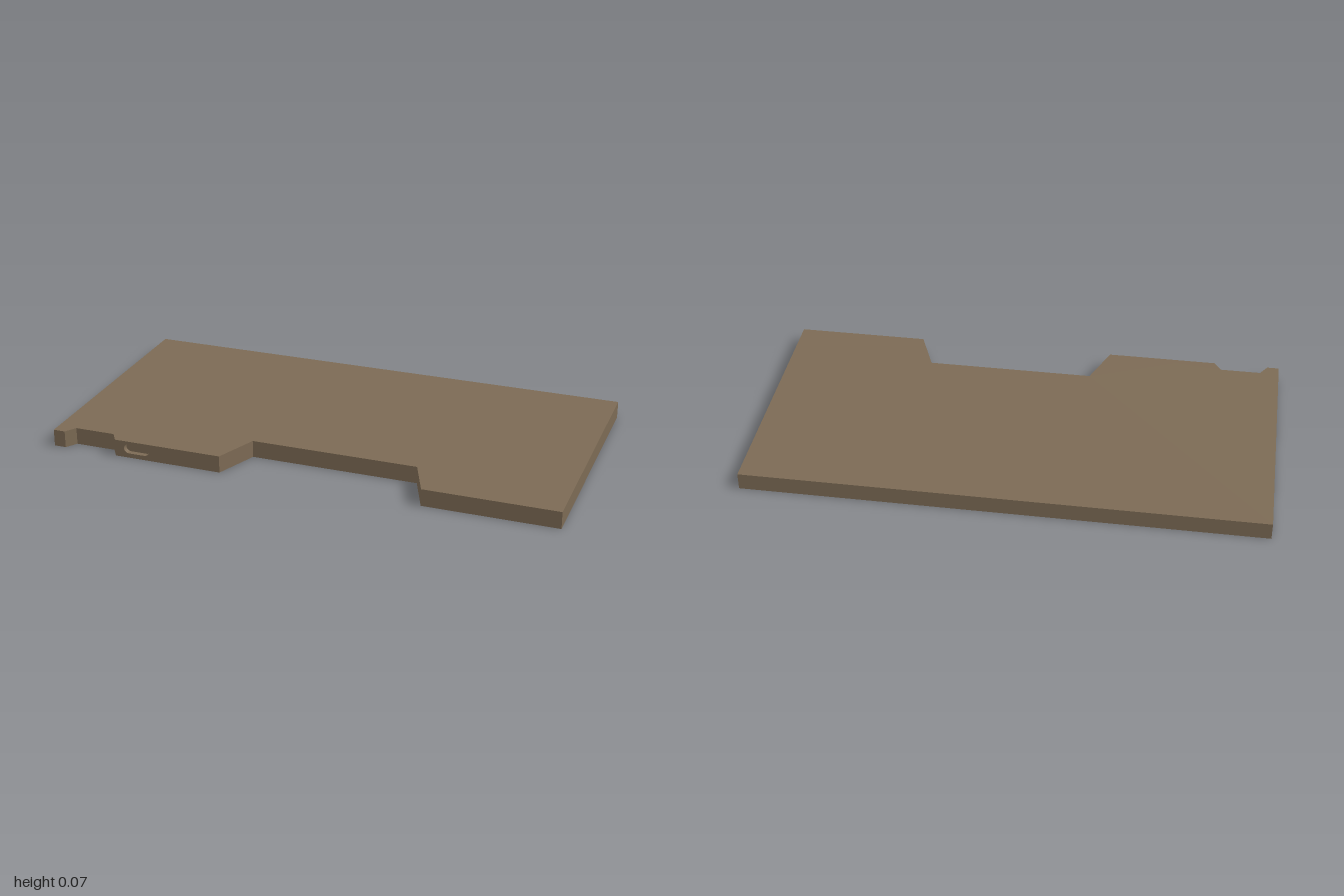
import * as THREE from 'three';

const HEIGHT = 0.067;

// Plan outline as [x, z], extruded upward from y = 0
function extrudePlan(points, height) {
  const shape = new THREE.Shape(points.map(([x, z]) => new THREE.Vector2(x, -z)));
  return new THREE.ExtrudeGeometry(shape, { depth: height, bevelEnabled: false }).rotateX(-Math.PI / 2);
}

// Rounded slot outline centred on (cx, cy)
function slotPath(cx, cy, width, height) {
  const r = height / 2, dx = width / 2 - r;
  const path = new THREE.Path();
  path.absarc(cx + dx, cy, r, -Math.PI / 2, Math.PI / 2, false);
  path.absarc(cx - dx, cy, r, Math.PI / 2, Math.PI * 1.5, false);
  path.closePath();
  return path;
}

export function createModel() {
  const model = new THREE.Group();
  model.name = 'notchedPanel';
  const brown = new THREE.MeshStandardMaterial({ color: 0x7c6a54 });
  brown.name = 'brown';

  const add = (name, geometry) => {
    const mesh = new THREE.Mesh(geometry, brown);
    mesh.name = name;
    model.add(mesh);
    return mesh;
  };

  // Extent of the slotted insert in the front edge
  const left = -0.72, right = -0.58, depth = 0.02;

  // Panel with a wide notch, a small notch and a seat for the insert
  add('panel', extrudePlan([
    [-1, 0.5], [-0.953, 0.5], [-0.925, 0.457], [-0.765, 0.457], [-0.737, 0.5],
    [left, 0.5], [left, 0.5 - depth], [right, 0.5 - depth], [right, 0.5],
    [-0.305, 0.5], [-0.238, 0.333], [0.417, 0.333], [0.484, 0.5],
    [1, 0.5], [1, -0.5], [-1, -0.5],
  ], HEIGHT));

  // Front edge insert with a rounded slot cut through to the panel
  const face = new THREE.Shape([
    new THREE.Vector2(left, 0), new THREE.Vector2(right, 0),
    new THREE.Vector2(right, HEIGHT), new THREE.Vector2(left, HEIGHT),
  ]);
  face.holes.push(slotPath(-0.648, 0.038, 0.105, 0.04));
  const insert = new THREE.ExtrudeGeometry(face, { depth, bevelEnabled: false, curveSegments: 10 });
  add('slottedEdge', insert.translate(0, 0, 0.5 - depth));

  return model;
}
